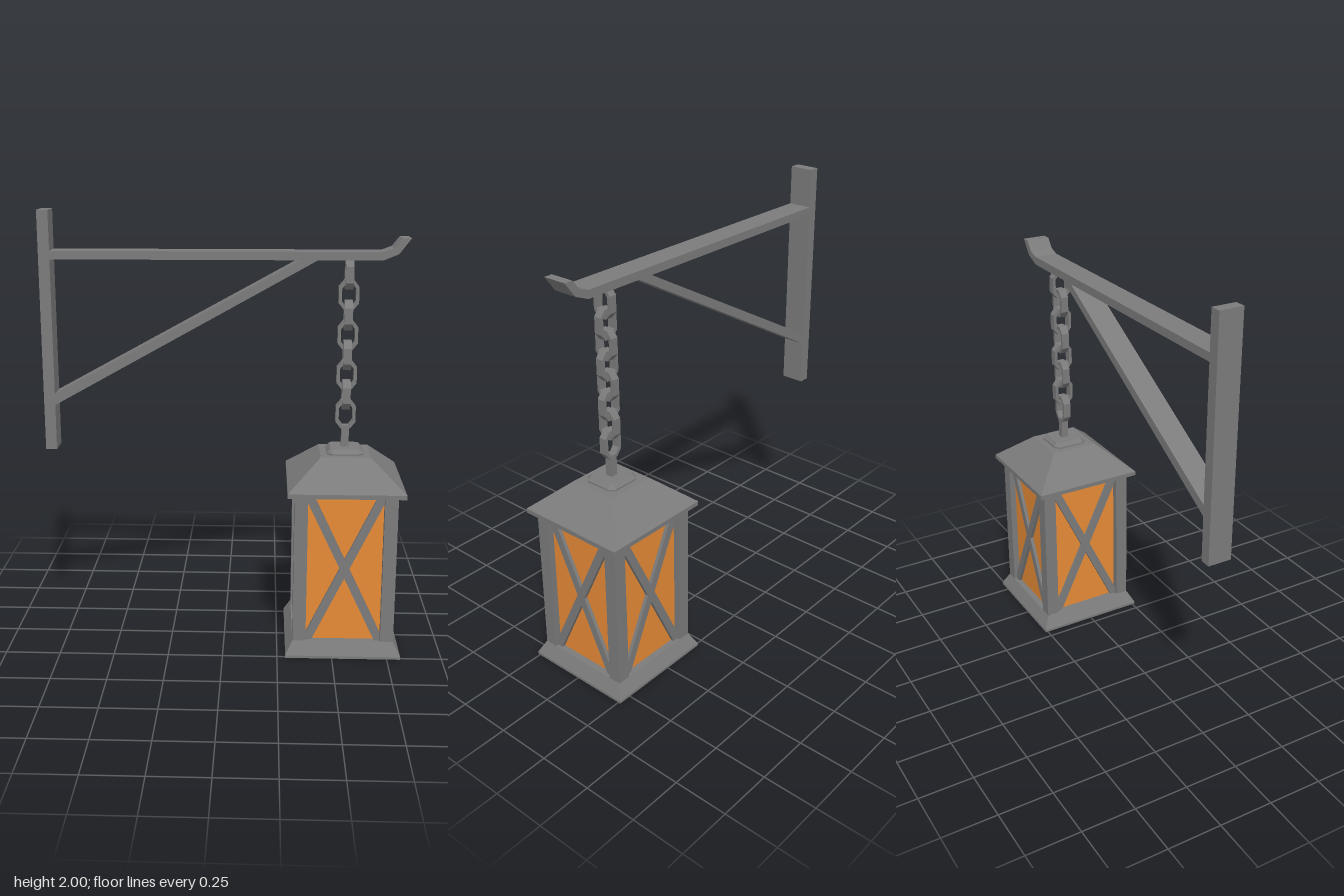
import * as THREE from 'three';

const metal = new THREE.MeshStandardMaterial({ color: 0x7b7b7b, flatShading: true });
const amber = new THREE.MeshStandardMaterial({ color: 0xe68a36, flatShading: true });

function add(parent, name, geometry, material = metal) {
  const mesh = new THREE.Mesh(geometry, material);
  mesh.name = name;
  parent.add(mesh);
  return mesh;
}

function box(parent, name, size, pos, material) {
  const mesh = add(parent, name, new THREE.BoxGeometry(...size), material);
  mesh.position.set(...pos);
  return mesh;
}

const toPoints = (list) => list.map(([x, y]) => new THREE.Vector2(x, y));

// Flat outline given thickness, centred on z = 0
function plate(outline, depth, hole) {
  const shape = new THREE.Shape(toPoints(outline));
  if (hole) shape.holes.push(new THREE.Path(toPoints(hole)));
  const geometry = new THREE.ExtrudeGeometry(shape, { depth, bevelEnabled: false });
  return geometry.translate(0, 0, -depth / 2);
}

// Square tapered solid from [half width, height] pairs, bottom to top
function squareSolid(profile) {
  const points = toPoints([[0, profile[0][1]], ...profile.map(([w, y]) => [w * Math.SQRT2, y]),
    [0, profile[profile.length - 1][1]]]);
  return new THREE.LatheGeometry(points, 4, Math.PI / 4);
}

// Rectangle with its corners cut off
function octagon(w, h, cutX, cutY) {
  return [[w, -h + cutY], [w, h - cutY], [w - cutX, h], [-w + cutX, h],
    [-w, h - cutY], [-w, -h + cutY], [-w + cutX, -h], [w - cutX, -h]];
}

function createBracket() {
  const bracket = new THREE.Group();
  bracket.name = 'bracket';
  box(bracket, 'wallPost', [0.05, 1.076, 0.11], [-0.79, 1.462, 0]);
  // Beam with its tip curling upwards
  add(bracket, 'beam', plate([[-0.77, 1.787], [0.69, 1.787], [0.758, 1.815], [0.81, 1.883],
    [0.77, 1.883], [0.735, 1.84], [0.69, 1.824], [-0.77, 1.824]], 0.11));
  add(bracket, 'brace', plate([[-0.767, 1.13], [0.41, 1.788], [0.335, 1.788], [-0.767, 1.181]], 0.11));
  return bracket;
}

function createChain() {
  const chain = new THREE.Group();
  chain.name = 'chain';
  const link = plate(octagon(0.045, 0.066, 0.024, 0.03), 0.036, octagon(0.031, 0.051, 0.017, 0.023));
  // Links alternate between facing the side and the front
  for (let i = 0; i < 8; i++) {
    const mesh = add(chain, 'chainLink', link);
    mesh.position.y = 1.722 - i * 0.0902;
    if (i % 2 === 0) mesh.rotation.y = Math.PI / 2;
  }
  box(chain, 'hangerStem', [0.034, 0.1, 0.034], [0, 0.98, 0]);
  return chain;
}

function createLantern() {
  const lantern = new THREE.Group();
  lantern.name = 'lantern';
  add(lantern, 'base', squareSolid([[0.262, 0], [0.262, 0.012], [0.23, 0.073]]));
  add(lantern, 'roof', squareSolid([[0.262, 0.766], [0.262, 0.786], [0.113, 0.914]]));

  // Low cap with cut corners and a sloping rim
  const capShape = new THREE.Shape(toPoints(octagon(0.067, 0.067, 0.012, 0.012)));
  const capGeometry = new THREE.ExtrudeGeometry(capShape,
    { depth: 0.008, bevelThickness: 0.018, bevelSize: 0.016, bevelSegments: 1 });
  const cap = add(lantern, 'roofCap', capGeometry.rotateX(-Math.PI / 2));
  cap.position.y = 0.913;

  box(lantern, 'glass', [0.4, 0.695, 0.4], [0, 0.4195, 0], amber);

  for (const x of [-1, 1]) {
    for (const z of [-1, 1]) {
      box(lantern, 'cornerPost', [0.06, 0.695, 0.06], [x * 0.2, 0.4195, z * 0.2]);
    }
  }

  // Crossed bars on all four sides, trimmed to the opening
  const a = 0.172, b = 0.3475, t = 0.028, s = 0.031;
  const bar = [[-a, -b], [-a + t, -b], [a, b - s], [a, b], [a - t, b], [-a, -b + s]];
  for (let side = 0; side < 4; side++) {
    const cross = new THREE.Group();
    cross.name = 'crossBars';
    cross.rotation.y = side * Math.PI / 2;
    for (const m of [-1, 1]) {
      const mesh = add(cross, 'crossBar', plate(bar.map(([x, y]) => [x * m, y]), 0.02));
      mesh.position.set(0, 0.4195, 0.206);
    }
    lantern.add(cross);
  }
  return lantern;
}

export function createModel() {
  const model = new THREE.Group();
  model.name = 'hangingLantern';
  const chain = createChain();
  const lantern = createLantern();
  chain.position.x = lantern.position.x = 0.55;
  model.add(createBracket(), chain, lantern);
  return model;
}
